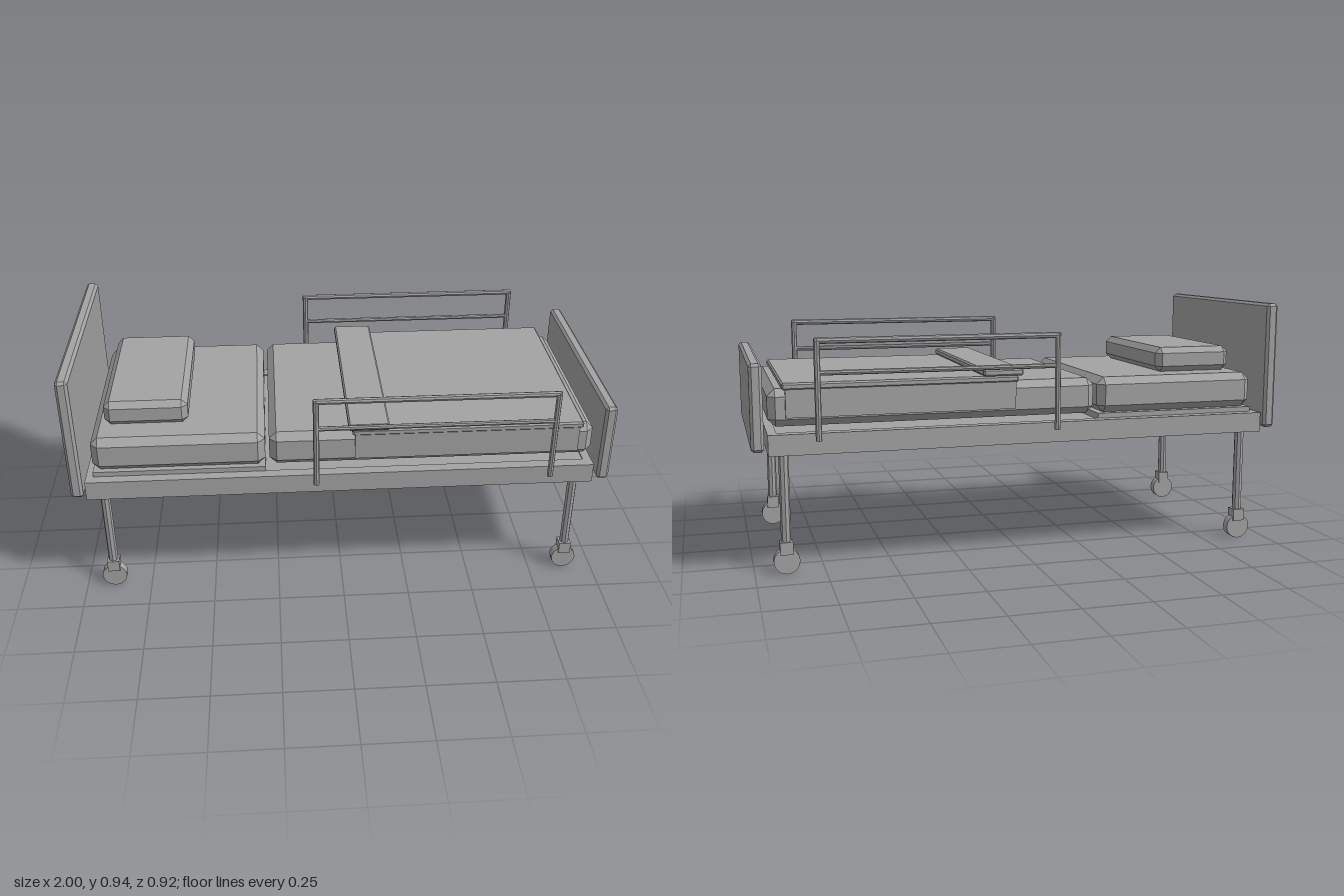
import * as THREE from 'three';
import { ConvexGeometry } from 'three/addons/geometries/ConvexGeometry.js';

export function createModel() {
  const model = new THREE.Group();
  model.name = 'hospitalBed';
  const grey = new THREE.MeshStandardMaterial({ color: 0xa3a3a3 });
  grey.name = 'plainGrey';

  function add(name, geometry, x = 0, y = 0, z = 0) {
    const mesh = new THREE.Mesh(geometry, grey);
    mesh.name = name;
    mesh.position.set(x, y, z);
    model.add(mesh);
    return mesh;
  }

  // Plain box given by its x and y limits, its depth and its centre z
  function box(name, x0, x1, y0, y1, depth, z = 0) {
    return add(name, new THREE.BoxGeometry(x1 - x0, y1 - y0, depth), (x0 + x1) / 2, (y0 + y1) / 2, z);
  }

  // Box with flat chamfers along all edges
  function chamferBox(name, x0, x1, y0, y1, depth, c) {
    const half = [(x1 - x0) / 2, (y1 - y0) / 2, depth / 2];
    const points = [];
    for (const sx of [-1, 1]) for (const sy of [-1, 1]) for (const sz of [-1, 1]) {
      for (let full = 0; full < 3; full++) {
        const p = half.map((h, i) => (i === full ? h : h - c));
        points.push(new THREE.Vector3(p[0] * sx, p[1] * sy, p[2] * sz));
      }
    }
    return add(name, new ConvexGeometry(points), (x0 + x1) / 2, (y0 + y1) / 2, 0);
  }

  // Faceted vertical or lengthwise tube
  function tube(name, radius, length, x, y, z, alongX = false) {
    const g = new THREE.CylinderGeometry(radius, radius, length, 8).toNonIndexed();
    if (alongX) g.rotateZ(Math.PI / 2);
    g.computeVertexNormals();
    return add(name, g, x, y, z);
  }

  // End boards
  chamferBox('headboard', -1, -0.955, 0.455, 0.937, 0.865, 0.01);
  chamferBox('footboard', 0.955, 1, 0.455, 0.763, 0.865, 0.01);

  // Frame and deck
  for (const side of [-1, 1]) box('sideRail', -0.947, 0.942, 0.438, 0.513, 0.042, side * 0.398);
  box('headCrossbar', -0.947, -0.915, 0.438, 0.513, 0.76);
  box('footCrossbar', 0.91, 0.942, 0.438, 0.513, 0.76);
  box('deck', -0.93, 0.925, 0.482, 0.508, 0.76);
  box('backrestPlate', -0.92, -0.285, 0.508, 0.532, 0.76);

  // Mattress in two sections, and pillow
  chamferBox('headMattress', -0.92, -0.285, 0.533, 0.667, 0.77, 0.027);
  chamferBox('footMattress', -0.27, 0.938, 0.533, 0.667, 0.77, 0.027);
  chamferBox('pillow', -0.873, -0.565, 0.668, 0.763, 0.57, 0.022);

  // Blanket: top, hanging sides and folded edge
  chamferBox('blanketTop', 0.035, 0.89, 0.665, 0.69, 0.81, 0.006);
  for (const side of [-1, 1]) box('blanketSide', 0.045, 0.877, 0.567, 0.68, 0.016, side * 0.393);
  chamferBox('blanketFold', 0.02, 0.17, 0.69, 0.716, 0.828, 0.006);

  // Guard rails
  for (const side of [-1, 1]) {
    const z = side * 0.447;
    for (const x of [-0.1, 0.77]) tube('guardPost', 0.011, 0.355, x, 0.6675, z);
    tube('guardTopBar', 0.011, 0.885, 0.335, 0.838, z, true);
    tube('guardMiddleBar', 0.009, 0.87, 0.335, 0.727, z, true);
  }

  // Legs with casters
  for (const x of [-0.89, 0.887]) for (const z of [-0.359, 0.359]) {
    tube('leg', 0.018, 0.4, x, 0.3, z);
    box('casterFork', x - 0.023, x + 0.023, 0.072, 0.118, 0.046, z);
    const wheel = new THREE.CylinderGeometry(0.047, 0.047, 0.033, 16).rotateX(Math.PI / 2);
    add('casterWheel', wheel, x, 0.047, z);
  }
  return model;
}
